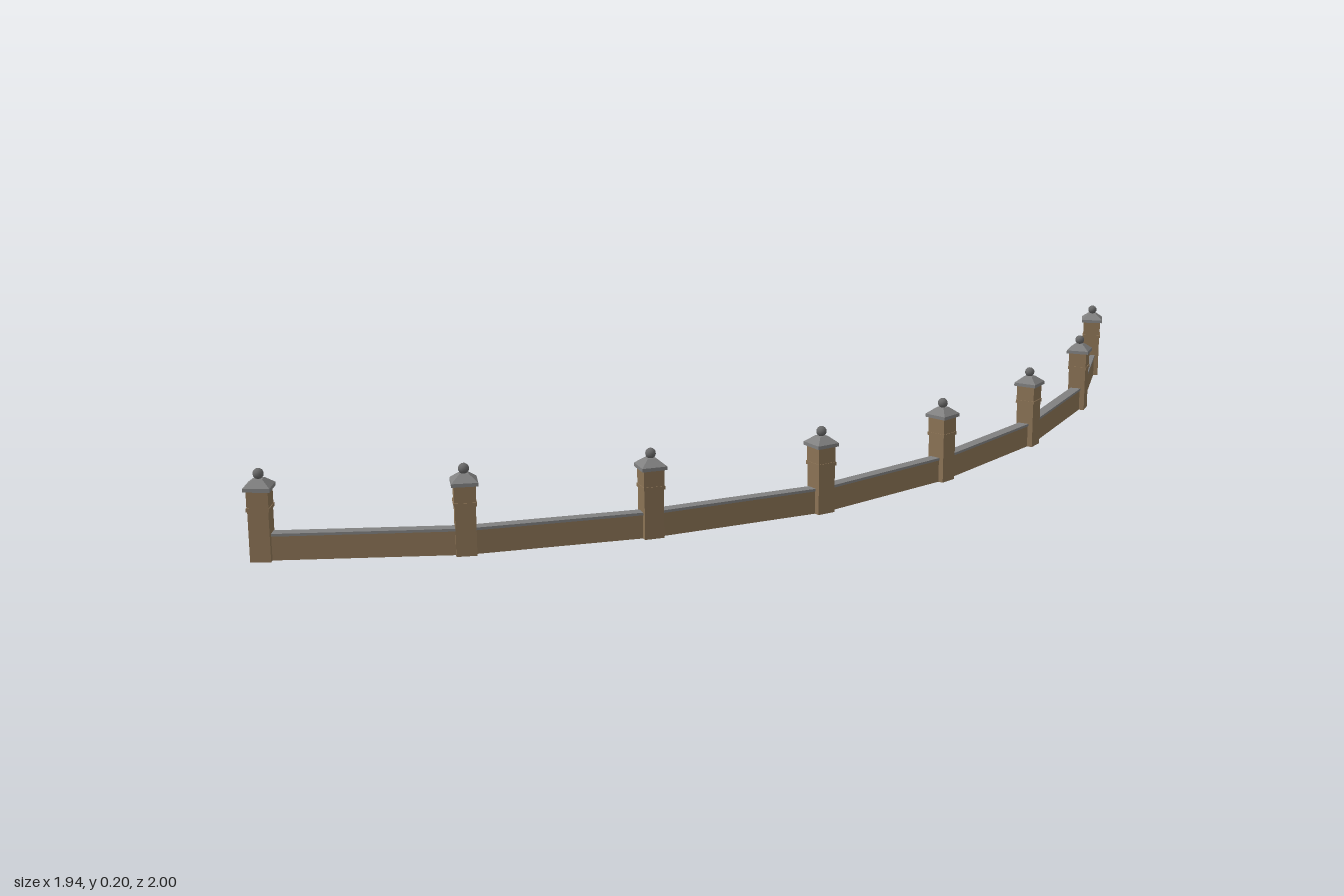
import * as THREE from 'three';

const stone = new THREE.MeshStandardMaterial({ name: 'brownStone', color: 0x8b7355 });
const grey = new THREE.MeshStandardMaterial({ name: 'greyStone', color: 0x808080 });
const darkGrey = new THREE.MeshStandardMaterial({ name: 'darkGreyStone', color: 0x696969 });

// pillar centres along the curve: x, z
const points = [
  [-0.94, 0.967], [-0.515, 0.885], [-0.133, 0.725], [0.23, 0.5],
  [0.505, 0.205], [0.725, -0.145], [0.875, -0.547], [0.936, -0.969],
];
// heading of each pillar about y
const turns = [5, 16.5, 27, 39.5, 52.5, 64, 75.5, 86];

function add(parent, name, geometry, material, y) {
  const mesh = new THREE.Mesh(geometry, material);
  mesh.name = name;
  mesh.position.y = y;
  parent.add(mesh);
  return mesh;
}

function box(parent, name, w, d, y0, y1, material) {
  return add(parent, name, new THREE.BoxGeometry(w, y1 - y0, d), material, (y0 + y1) / 2);
}

// four-sided tapered block, sides given as full widths
function taper(parent, name, top, bottom, y0, y1, material) {
  const g = new THREE.CylinderGeometry(top * Math.SQRT1_2, bottom * Math.SQRT1_2, y1 - y0, 4)
    .rotateY(Math.PI / 4).toNonIndexed();
  g.computeVertexNormals();
  return add(parent, name, g, material, (y0 + y1) / 2);
}

function createPillar() {
  const pillar = new THREE.Group();
  pillar.name = 'pillar';
  box(pillar, 'pillarShaft', 0.045, 0.045, 0, 0.112, stone);
  box(pillar, 'pillarBand', 0.05, 0.05, 0.112, 0.12, stone);
  box(pillar, 'pillarHead', 0.047, 0.047, 0.12, 0.157, stone);
  box(pillar, 'capSlab', 0.058, 0.058, 0.157, 0.165, grey);
  taper(pillar, 'capSlope', 0.02, 0.058, 0.165, 0.181, grey);
  add(pillar, 'finialBall', new THREE.SphereGeometry(0.012, 12, 8), darkGrey, 0.191);
  return pillar;
}

export function createModel() {
  const model = new THREE.Group();
  model.name = 'curvedWall';

  points.forEach(([x, z], i) => {
    const pillar = createPillar();
    pillar.position.set(x, 0, z);
    pillar.rotation.y = THREE.MathUtils.degToRad(turns[i]);
    model.add(pillar);

    // straight wall run to the next pillar
    if (i === points.length - 1) return;
    const [nx, nz] = points[i + 1];
    const length = Math.hypot(nx - x, nz - z);
    const run = new THREE.Group();
    run.name = 'wallRun';
    box(run, 'wallBody', length, 0.023, 0, 0.054, stone);
    box(run, 'wallCoping', length, 0.027, 0.054, 0.06, grey);
    run.position.set((x + nx) / 2, 0, (z + nz) / 2);
    run.rotation.y = Math.atan2(z - nz, nx - x);
    model.add(run);
  });
  return model;
}
